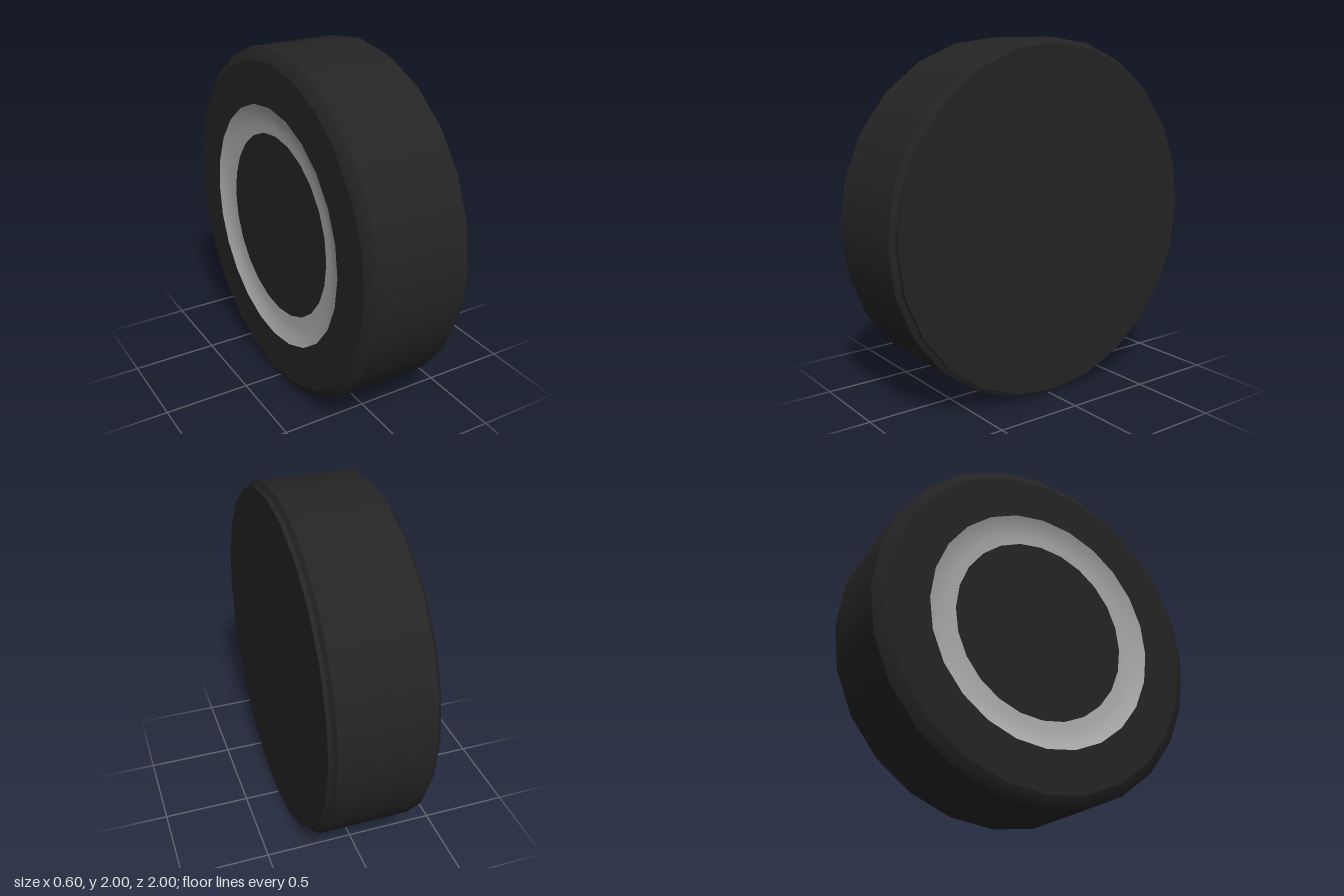
import * as THREE from 'three';

const SIDES = 24;

export function createModel() {
  const rubber = new THREE.MeshStandardMaterial({ color: 0x242424 });
  rubber.name = 'black rubber';
  const metal = new THREE.MeshStandardMaterial({ color: 0xaaaaaa });
  metal.name = 'grey metal';

  const wheel = new THREE.Group();
  wheel.name = 'wheel';

  // Revolves a profile of [x along axle, radius] pairs, from -x to +x
  function band(name, material, profile) {
    const points = profile.map(([x, r]) => new THREE.Vector2(r, x));
    const geometry = new THREE.LatheGeometry(points, SIDES);
    geometry.rotateZ(-Math.PI / 2);
    const mesh = new THREE.Mesh(geometry, material);
    mesh.name = name;
    wheel.add(mesh);
  }

  // Rim side: sunken hub, dished grey ring, flat sidewall
  band('hubCap', rubber, [[-0.265, 0], [-0.265, 0.53]]);
  band('rimRing', metal, [[-0.265, 0.53], [-0.267, 0.58], [-0.275, 0.64], [-0.3, 0.695]]);
  band('sidewall', rubber, [[-0.3, 0.695], [-0.3, 0.935]]);

  // Tyre with bevelled shoulders
  band('outerShoulder', rubber, [[-0.3, 0.935], [-0.285, 0.97], [-0.26, 1]]);
  band('tread', rubber, [[-0.26, 1], [0.26, 1]]);
  band('innerShoulder', rubber, [[0.26, 1], [0.28, 0.965]]);

  // Plain closing disc on the other side
  band('backDiscEdge', rubber, [[0.27, 0.97], [0.3, 0.97]]);
  band('backDisc', rubber, [[0.3, 0.97], [0.3, 0]]);

  wheel.position.y = 1;
  const model = new THREE.Group();
  model.name = 'wheelModel';
  model.add(wheel);
  return model;
}
